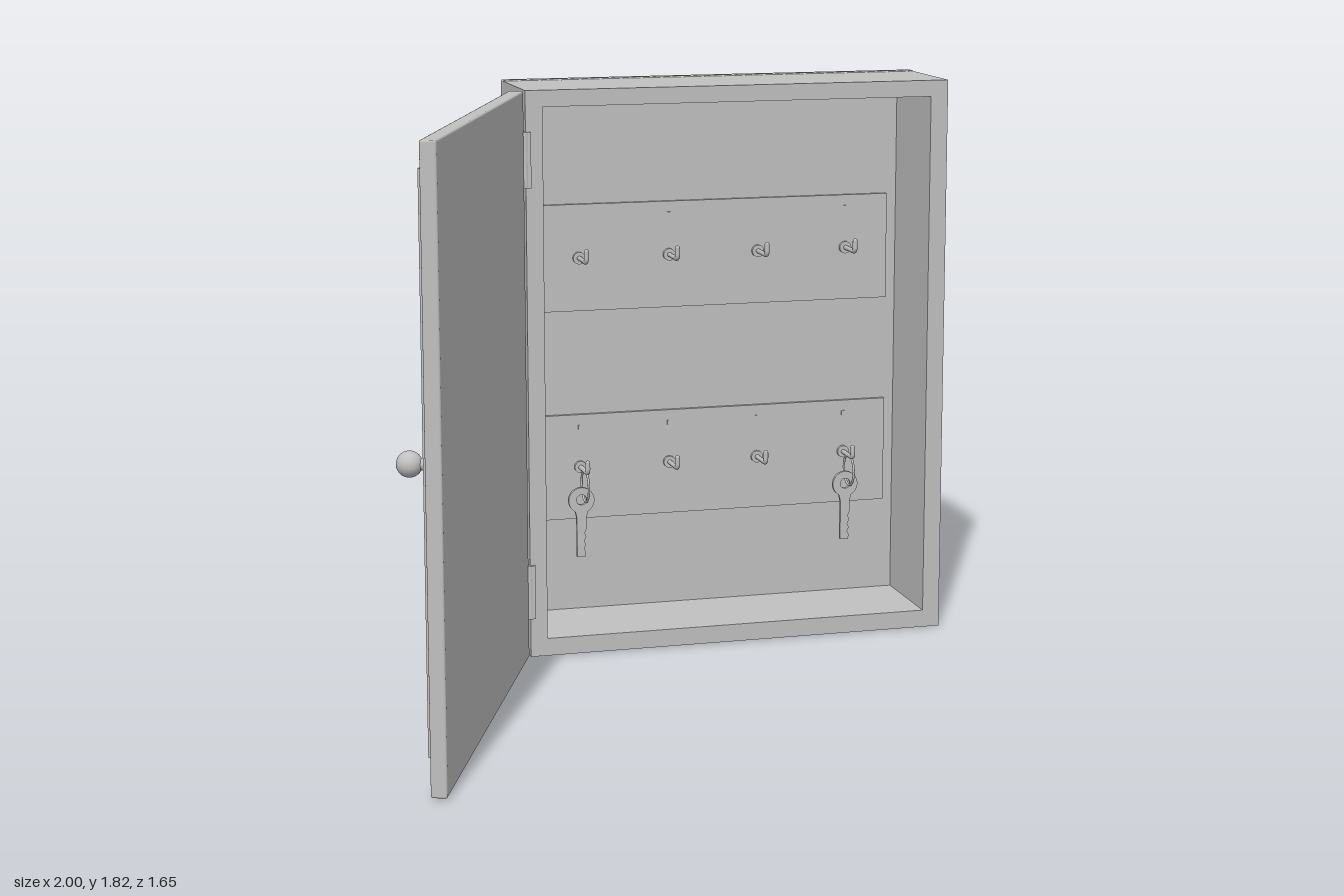
import * as THREE from 'three';
import { RoundedBoxGeometry } from 'three/addons/geometries/RoundedBoxGeometry.js';

const grey = new THREE.MeshStandardMaterial({ color: 0xc0c0c0 });
grey.name = 'plain grey';

function add(parent, name, geometry, x = 0, y = 0, z = 0) {
  const mesh = new THREE.Mesh(geometry, grey);
  mesh.name = name;
  mesh.position.set(x, y, z);
  parent.add(mesh);
  return mesh;
}

// Box given by its two extreme corners, optionally with rounded edges
function block(parent, name, [x0, y0, z0], [x1, y1, z1], r = 0) {
  const s = [x1 - x0, y1 - y0, z1 - z0];
  const geo = r ? new RoundedBoxGeometry(...s, 2, r) : new THREE.BoxGeometry(...s);
  return add(parent, name, geo, (x0 + x1) / 2, (y0 + y1) / 2, (z0 + z1) / 2);
}

function rectangle(Type, x0, y0, x1, y1) {
  return new Type([[x0, y0], [x1, y0], [x1, y1], [x0, y1]].map(p => new THREE.Vector2(...p)));
}

// Rectangular frame extruded along +z
function frame(parent, name, [x0, y0, x1, y1], [a0, b0, a1, b1], z, depth) {
  const shape = rectangle(THREE.Shape, x0, y0, x1, y1);
  shape.holes.push(rectangle(THREE.Path, a0, b0, a1, b1));
  return add(parent, name, new THREE.ExtrudeGeometry(shape, { depth, bevelEnabled: false }), 0, 0, z);
}

// Round base plate with an upturned peg
function makeHook(x, y) {
  const hook = new THREE.Group();
  hook.name = 'keyHook';
  hook.position.set(x, y, -0.777);
  add(hook, 'hookPlate', new THREE.CylinderGeometry(0.02, 0.02, 0.012, 20), 0, 0, 0.006).rotation.x = Math.PI / 2;
  const path = new THREE.CurvePath();
  const v = (py, pz) => new THREE.Vector3(0, py, pz);
  path.add(new THREE.LineCurve3(v(0, 0), v(0, 0.095)));
  path.add(new THREE.QuadraticBezierCurve3(v(0, 0.095), v(0, 0.11), v(0.015, 0.11)));
  path.add(new THREE.LineCurve3(v(0.015, 0.11), v(0.036, 0.11)));
  add(hook, 'hookPeg', new THREE.TubeGeometry(path, 32, 0.008, 10));
  add(hook, 'hookTip', new THREE.SphereGeometry(0.008, 10, 8), 0, 0.036, 0.11);
  return hook;
}

// Flat key with a round bow and toothed blade, hanging from a ring
function makeKey(x, y) {
  const key = new THREE.Group();
  key.name = 'hangingKey';
  key.position.set(x, y, -0.7);
  const ring = add(key, 'keyRing', new THREE.TorusGeometry(0.052, 0.004, 8, 36), 0, -0.043, 0);
  ring.rotation.y = Math.PI / 2;
  const shape = new THREE.Shape();
  shape.absarc(0, 0, 0.043, -Math.PI * 0.34, Math.PI * 1.34, false);
  [[-0.016, -0.06], [-0.016, -0.19], [0.012, -0.19], [0.014, -0.175], [0.008, -0.163], [0.014, -0.15],
    [0.008, -0.138], [0.015, -0.122], [0.01, -0.11], [0.016, -0.095], [0.016, -0.06]]
    .forEach(p => shape.lineTo(...p));
  const hole = new THREE.Path();
  hole.absarc(0, 0.002, 0.017, 0, Math.PI * 2, true);
  shape.holes.push(hole);
  const geo = new THREE.ExtrudeGeometry(shape, { depth: 0.012, bevelEnabled: false, curveSegments: 24 });
  add(key, 'keyBlade', geo, -0.014, -0.09, -0.006);
  return key;
}

function makeDoor() {
  // Local x runs from the hinge to the free edge, local z points to the outer face
  const door = new THREE.Group();
  door.name = 'door';
  door.position.set(-0.395, 0, -0.46);
  door.rotation.y = -1.95;
  block(door, 'doorPanel', [0, 0.004, 0], [1.378, 1.816, 0.047], 0.006);
  frame(door, 'doorMoulding', [0.093, 0.09, 1.287, 1.73], [0.168, 0.165, 1.212, 1.655], 0.046, 0.024);
  const stem = add(door, 'knobStem', new THREE.CylinderGeometry(0.014, 0.018, 0.04, 20), 1.25, 0.915, 0.083);
  stem.rotation.x = Math.PI / 2;
  add(door, 'knob', new THREE.SphereGeometry(0.037, 28, 20), 1.25, 0.915, 0.115);
  return door;
}

export function createModel() {
  const cabinet = new THREE.Group();
  cabinet.name = 'keyCabinet';

  // Open case, with a shallow groove before the back panel
  frame(cabinet, 'caseWalls', [-0.39, 0.003, 0.997, 1.817], [-0.335, 0.06, 0.94, 1.765], -0.79, 0.33);
  block(cabinet, 'backCore', [-0.382, 0.01, -0.81], [0.989, 1.81, -0.789]);
  block(cabinet, 'backPanel', [-0.39, 0, -0.828], [1, 1.82, -0.795], 0.006);

  // Two rails, each with four hooks and small markers above them
  for (const y of [1.24, 0.545]) {
    block(cabinet, 'hookRail', [-0.3, y - 0.175, -0.79], [0.905, y + 0.175, -0.776]);
    for (let i = 0; i < 4; i++) {
      const x = -0.15 + i * 0.303;
      cabinet.add(makeHook(x, y));
      block(cabinet, 'hookMarker', [x - 0.006, y + 0.125, -0.777], [x + 0.006, y + 0.14, -0.773]);
    }
  }
  cabinet.add(makeKey(-0.151, 0.54), makeKey(0.757, 0.54));

  cabinet.add(makeDoor());

  // Hinges
  for (const y of [0.218, 1.602]) {
    add(cabinet, 'hingeBarrel', new THREE.CylinderGeometry(0.011, 0.011, 0.175, 16), -0.392, y, -0.458);
    block(cabinet, 'hingeLeaf', [-0.392, y - 0.0875, -0.461], [-0.375, y + 0.0875, -0.449]);
  }
  return cabinet;
}
